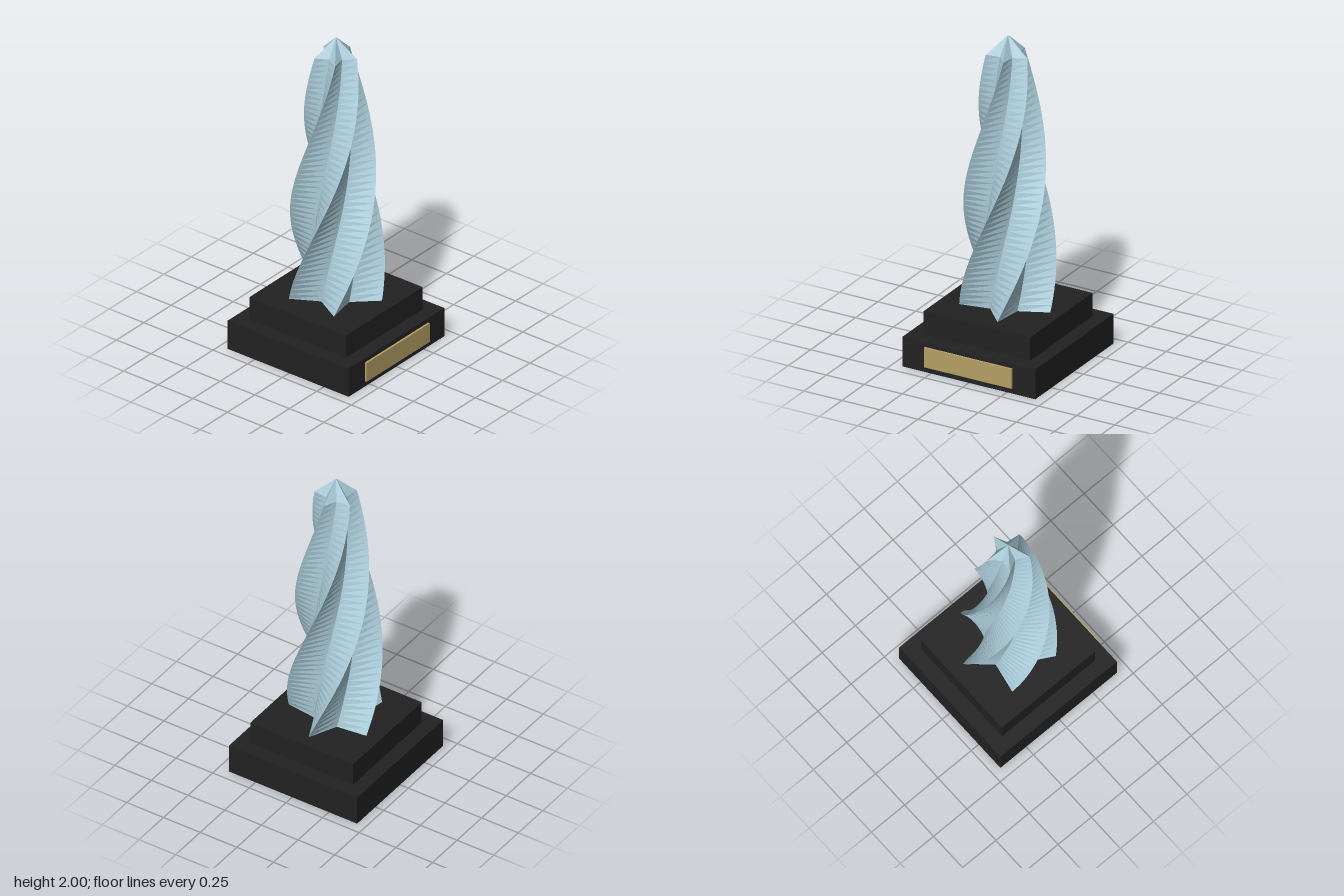
import * as THREE from 'three';

const CENTER_Z = -0.0065;
const POINTS = 5, LAYERS = 40;
const BOTTOM = 0.33, SHOULDER = 1.88, TOP = 2;
const TWIST = THREE.MathUtils.degToRad(144);

// Ridge radius, t = 0 at the shoulder and 1 at the foot
const ridgeRadius = (t) => 0.127 + 0.151 * (1.955 * t - 0.785 * t * t - 0.17 * t ** 3);

// Five-pointed star rings, shrinking and turning as they rise, closed by a faceted tip
function twistedStarGeometry() {
  const sides = POINTS * 2, pos = [], index = [];
  for (let j = 0; j <= LAYERS; j++) {
    const h = j / LAYERS, r = ridgeRadius(1 - h);
    for (let i = 0; i < sides; i++) {
      const a = (i / sides) * Math.PI * 2 + h * TWIST;
      const s = i % 2 ? r * 0.482 : r;
      pos.push(s * Math.cos(a), BOTTOM + h * (SHOULDER - BOTTOM), -s * Math.sin(a));
    }
  }
  const apex = pos.length / 3;
  pos.push(0, TOP, 0);
  const foot = apex + 1;
  pos.push(0, BOTTOM, 0);
  for (let i = 0; i < sides; i++) {
    const n = (i + 1) % sides;
    for (let j = 0; j < LAYERS; j++) {
      const a = j * sides + i, b = j * sides + n;
      index.push(a, b, b + sides, a, b + sides, a + sides);
    }
    index.push(LAYERS * sides + i, LAYERS * sides + n, apex);
    index.push(n, i, foot);
  }
  const g = new THREE.BufferGeometry();
  g.setAttribute('position', new THREE.Float32BufferAttribute(pos, 3));
  g.setIndex(index);
  // Separate faces give crisp facets
  const flat = g.toNonIndexed();
  flat.computeVertexNormals();
  return flat;
}

export function createModel() {
  const group = new THREE.Group();
  group.name = 'twistedTrophy';

  const material = (name, color) => {
    const m = new THREE.MeshStandardMaterial({ color });
    m.name = name;
    return m;
  };
  const black = material('blackBase', 0x222222);
  const gold = material('goldPlaque', 0xb6a065);
  const glass = material('paleBlueGlass', 0xaed0de);

  const add = (name, geometry, mat, y, z) => {
    const mesh = new THREE.Mesh(geometry, mat);
    mesh.name = name;
    mesh.position.set(0, y, z);
    group.add(mesh);
  };

  // Stepped plinth
  add('lowerPlinth', new THREE.BoxGeometry(0.874, 0.185, 0.874), black, 0.0925, CENTER_Z);
  add('upperPlinth', new THREE.BoxGeometry(0.7, 0.145, 0.7), black, 0.2575, CENTER_Z);

  // Blank plate on the front of the plinth
  add('plaque', new THREE.BoxGeometry(0.576, 0.122, 0.0133), gold, 0.096, 0.4368);

  // Spiralling star column
  add('twistedColumn', twistedStarGeometry(), glass, 0, CENTER_Z);

  return group;
}
